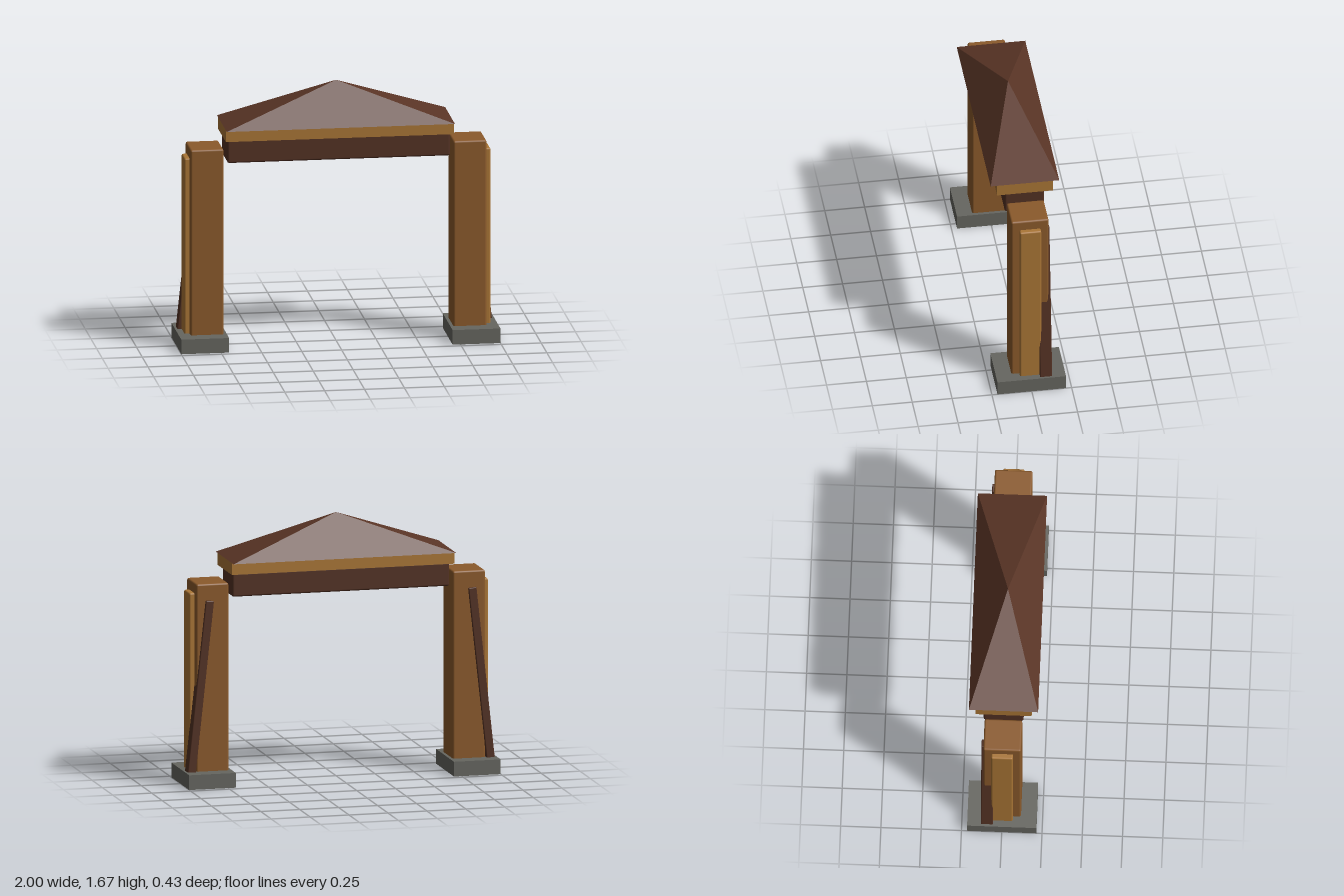
import * as THREE from 'three';
import { RoundedBoxGeometry } from 'three/addons/geometries/RoundedBoxGeometry.js';

const paint = (color) => new THREE.MeshStandardMaterial({ color });

export function createModel() {
  const stone = paint(0x666660);
  const wood = paint(0x8b5a2b);
  const paleWood = paint(0xaa7636);
  const darkWood = paint(0x533123);
  const roofTile = paint(0x5a3526);

  const model = new THREE.Group();
  model.name = 'gate';

  // Box given by its extents; a bevel above zero softens the edges
  function block(parent, name, material, [x0, x1], [y0, y1], [z0, z1], bevel = 0) {
    const size = [x1 - x0, y1 - y0, z1 - z0];
    const geometry = bevel
      ? new RoundedBoxGeometry(...size, 2, bevel)
      : new THREE.BoxGeometry(...size);
    const mesh = new THREE.Mesh(geometry, material);
    mesh.name = name;
    mesh.position.set((x0 + x1) / 2, (y0 + y1) / 2, (z0 + z1) / 2);
    parent.add(mesh);
    return mesh;
  }

  // Two mirrored pillars
  for (const [side, s] of [['left', 1], ['right', -1]]) {
    const pillar = new THREE.Group();
    pillar.name = side + 'Pillar';
    const span = (a, b) => (s > 0 ? [a, b] : [-b, -a]);

    block(pillar, 'footing', stone, span(0.7, 1), [0, 0.093], [-0.215, 0.215]);
    block(pillar, 'post', wood, span(0.72, 0.927), [0.005, 1.277], [-0.117, 0.117], 0.012);
    block(pillar, 'outerPanel', paleWood, span(0.86, 0.959), [0.02, 1.213], [-0.067, 0.067], 0.01);

    // Brace leaning inward against the back of the post
    const brace = block(pillar, 'brace', darkWood, [-0.026, 0.026], [-0.57, 0.57], [-0.131, -0.055], 0.006);
    brace.position.x = s * 0.904;
    brace.position.y = 0.604;
    brace.rotation.z = s * 0.108;

    model.add(pillar);
  }

  // Lintel and eave between the pillars
  block(model, 'lintel', darkWood, [-0.697, 0.697], [1.187, 1.337], [-0.124, 0.124], 0.012);
  block(model, 'eave', paleWood, [-0.715, 0.715], [1.337, 1.412], [-0.175, 0.175]);

  // Four-sided roof: a unit pyramid squared to the axes, then stretched
  const pyramid = new THREE.ConeGeometry(Math.SQRT2, 1, 4).toNonIndexed();
  pyramid.rotateY(Math.PI / 4);
  pyramid.scale(0.715, 0.255, 0.215);
  pyramid.computeVertexNormals();
  const roof = new THREE.Mesh(pyramid, roofTile);
  roof.name = 'roof';
  roof.position.y = 1.412 + 0.255 / 2;
  model.add(roof);

  return model;
}
